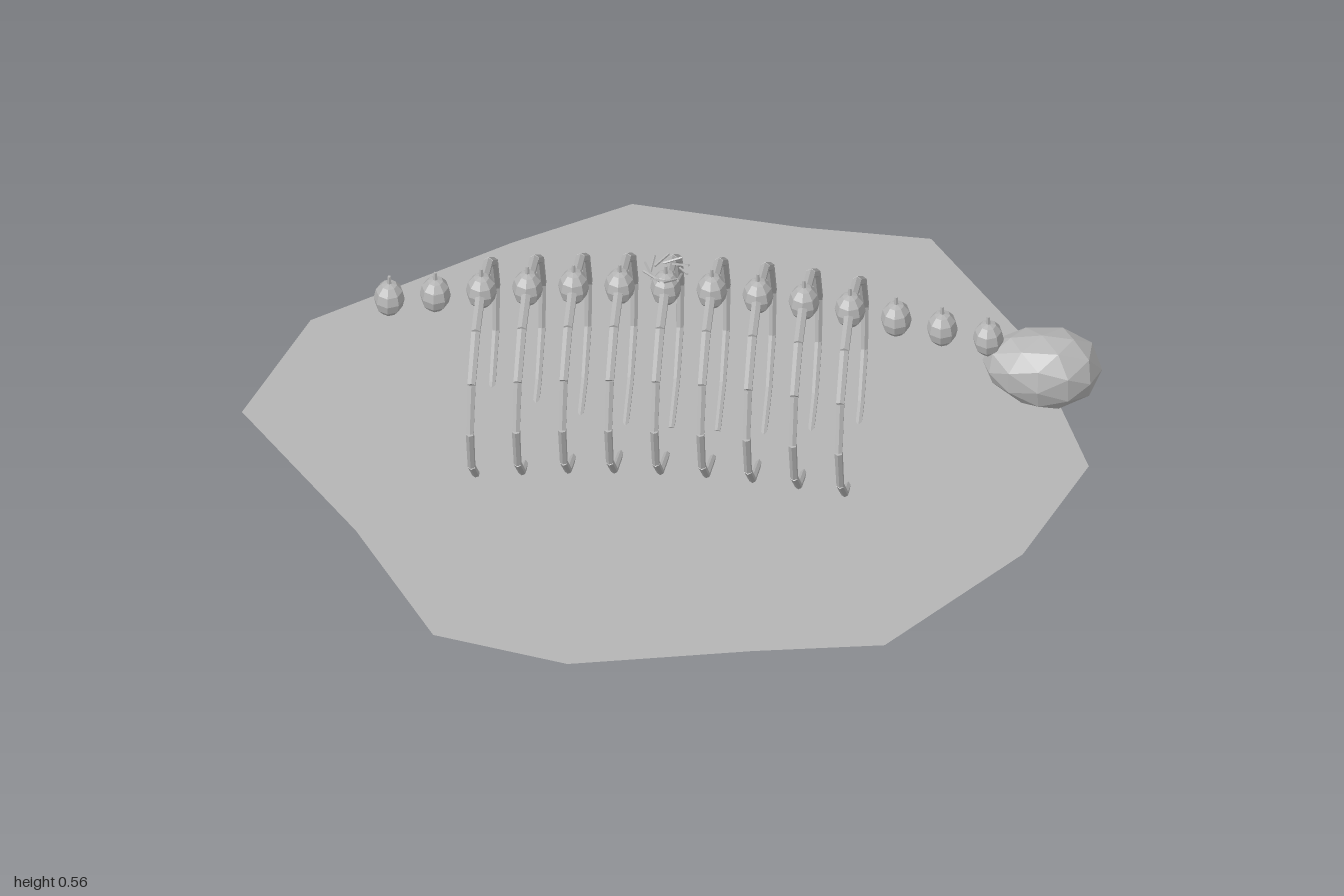
import * as THREE from 'three';

const bone = new THREE.MeshStandardMaterial({ color: 0xb4b4b4, flatShading: true, side: THREE.DoubleSide });
bone.name = 'stone grey';

function add(parent, name, geometry, x = 0, y = 0, z = 0) {
  const mesh = new THREE.Mesh(geometry, bone);
  mesh.name = name;
  mesh.position.set(x, y, z);
  parent.add(mesh);
  return mesh;
}

// Thin tapered rod between two points
function rod(parent, name, a, b, ra, rb, sides = 6) {
  const dir = b.clone().sub(a);
  const mesh = add(parent, name, new THREE.CylinderGeometry(rb, ra, dir.length(), sides));
  mesh.position.copy(a).add(b).multiplyScalar(0.5);
  mesh.quaternion.setFromUnitVectors(new THREE.Vector3(0, 1, 0), dir.normalize());
}

// One rib: six straight pieces along most of a half ellipse
function makeRib(side) {
  const rib = new THREE.Group();
  rib.name = side > 0 ? 'frontRib' : 'backRib';
  const points = [];
  for (let i = 0; i <= 6; i++) {
    const t = (i / 6) * THREE.MathUtils.degToRad(170);
    points.push(new THREE.Vector3(0.008 * i / 6, -0.223 + 0.23 * Math.cos(t), side * 0.28 * Math.sin(t)));
  }
  for (let i = 0; i < 6; i++) {
    rod(rib, 'ribSegment', points[i], points[i + 1], 0.0125 - 0.0008 * i, 0.0117 - 0.0008 * i);
  }
  return rib;
}

export function createModel() {
  const model = new THREE.Group();
  model.name = 'skeleton';

  // Flat ground patch, pierced by the rib tips
  const outline = [[-1, 0], [-0.88, -0.36], [-0.45, -0.7], [-0.19, -0.875], [0.21, -0.83], [0.51, -0.82],
    [0.78, -0.455], [0.965, -0.01], [0.85, 0.335], [0.57, 0.71], [0.27, 0.765], [-0.15, 0.86],
    [-0.47, 0.785], [-0.69, 0.415]];
  const ground = new THREE.Shape(outline.map(([x, z]) => new THREE.Vector2(x, -z)));
  add(model, 'groundPatch', new THREE.ShapeGeometry(ground).rotateX(-Math.PI / 2), 0, 0.065, 0);

  // Arched spine with a small spike on each vertebra, ribs on the middle nine
  const body = new THREE.SphereGeometry(1, 8, 6).scale(0.036, 0.044, 0.041);
  const spike = new THREE.CylinderGeometry(0.004, 0.007, 0.04, 5);
  for (let i = 0; i < 14; i++) {
    const x = -0.658 + 0.107 * i;
    const y = 0.428 + 0.085 * Math.sin(Math.PI * i / 13);
    add(model, 'vertebra', body, x, y, 0);
    add(model, 'vertebraSpike', spike, x, y + 0.042, 0);
    if (i < 2 || i > 10) continue;
    for (const side of [1, -1]) {
      const rib = makeRib(side);
      rib.position.set(x, y, 0);
      model.add(rib);
    }
  }

  // Faceted skull, tapered towards the neck
  const skull = new THREE.IcosahedronGeometry(1, 1);
  const p = skull.attributes.position;
  for (let i = 0; i < p.count; i++) {
    const x = p.getX(i);
    const taper = 1 + 0.12 * x;
    p.setXYZ(i, x * 0.139, p.getY(i) * taper * 0.094 + (x < 0 ? -0.012 * x : 0.006 * x), p.getZ(i) * taper * 0.099);
  }
  skull.computeVertexNormals();
  add(model, 'skull', skull, 0.858, 0.352, 0);

  // Small ring of crossed twigs on top of the spine
  const nest = new THREE.Group();
  nest.name = 'nest';
  nest.position.set(-0.015, 0.562, 0);
  const count = 10;
  for (let i = 0; i < count; i++) {
    const a = (i / count) * Math.PI * 2;
    const at = (angle, r, y) => new THREE.Vector3(Math.cos(angle) * r, y, Math.sin(angle) * r);
    rod(nest, 'twig', at(a, 0.036, -0.006), at(a + 0.95, 0.054, 0.007), 0.003, 0.003, 4);
  }
  model.add(nest);

  return model;
}
